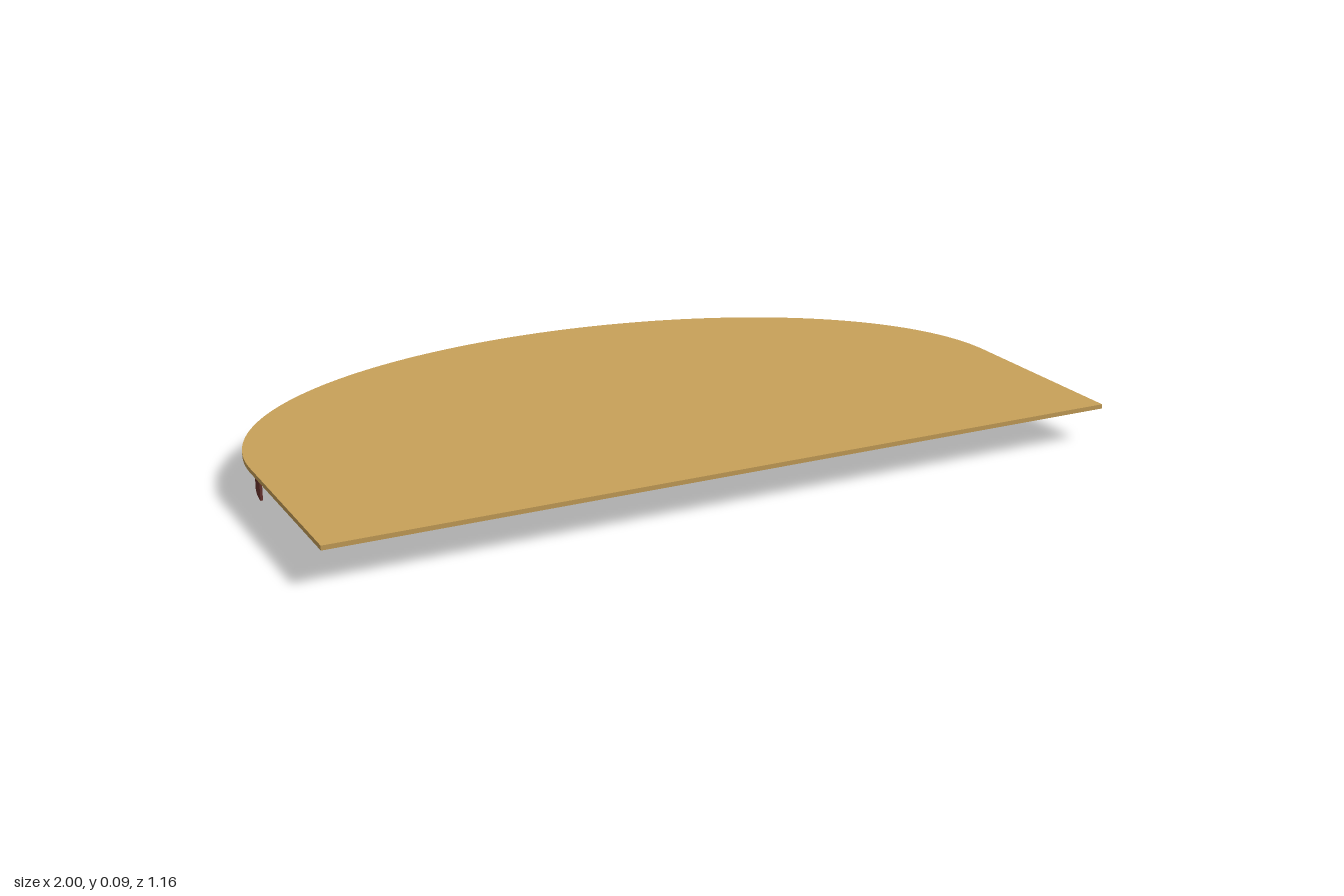
import * as THREE from 'three';
import { toCreasedNormals } from 'three/addons/utils/BufferGeometryUtils.js';

// Shapes are drawn in plan (shape y = -z), then laid flat and raised to y.
function slab(shape, y, height, curveSegments) {
  const geometry = new THREE.ExtrudeGeometry(shape, { depth: height, bevelEnabled: false, curveSegments });
  geometry.rotateX(-Math.PI / 2);
  geometry.translate(0, y, 0);
  return toCreasedNormals(geometry, 0.5);
}

export function createModel() {
  const group = new THREE.Group();
  const gold = new THREE.MeshStandardMaterial({ color: 0xc8a159 });
  gold.name = 'gold';
  const maroon = new THREE.MeshStandardMaterial({ color: 0x6b342f });
  maroon.name = 'maroon';

  const centreY = -0.08; // plan centre of the elliptical back

  // Thin top: straight front and sides, half-ellipse back
  const plan = new THREE.Shape();
  plan.moveTo(-1, -0.578);
  plan.lineTo(1, -0.578);
  plan.lineTo(1, centreY);
  plan.absellipse(0, centreY, 1, 0.658, 0, Math.PI, false);
  plan.closePath();
  const top = new THREE.Mesh(slab(plan, 0.082, 0.011, 96), gold);
  top.name = 'topPlate';
  group.add(top);

  // Nine thin curved panels spaced evenly under the back rim
  const panels = new THREE.Group();
  panels.name = 'rimPanels';
  const count = 9, pitch = Math.PI / count, half = pitch * 0.38, thickness = 0.006;
  for (let i = 0; i < count; i++) {
    const middle = (i + 0.5) * pitch;
    const arc = new THREE.Shape();
    arc.absellipse(0, centreY, 0.974, 0.636, middle - half, middle + half, false);
    arc.absellipse(0, centreY, 0.974 - thickness, 0.636 - thickness, middle + half, middle - half, true);
    arc.closePath();
    const panel = new THREE.Mesh(slab(arc, 0, 0.065, 14), maroon);
    panel.name = `rimPanel${i + 1}`;
    panels.add(panel);
  }
  group.add(panels);
  return group;
}
